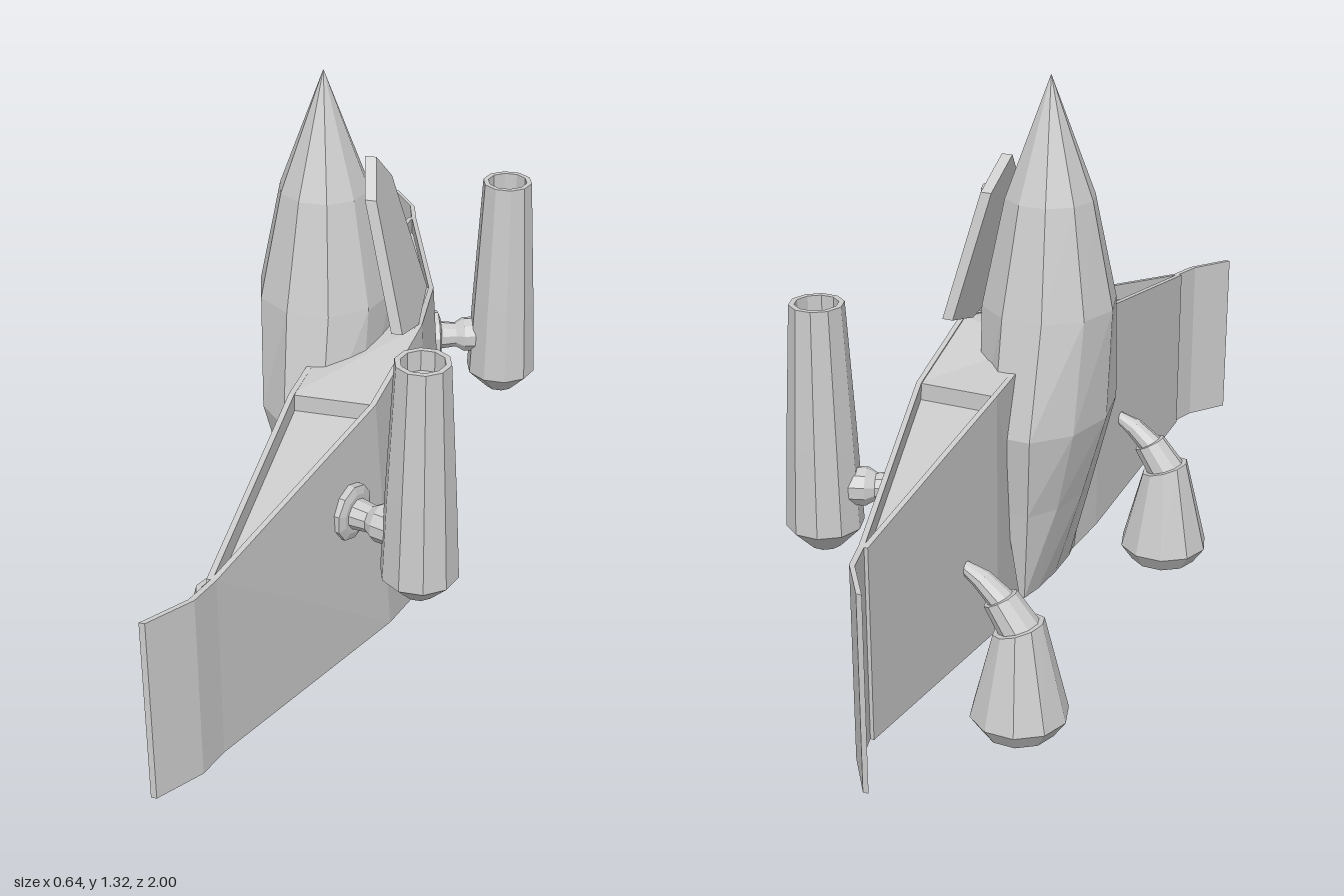
import * as THREE from 'three';

const material = new THREE.MeshStandardMaterial({ color: 0xcccccc, flatShading: true });

// Skin a row of closed rings and cap both ends
function loft(rings) {
  const out = [];
  const tri = (a, b, c) => out.push(...a, ...b, ...c);
  const n = rings[0].length;
  for (let i = 0; i < rings.length - 1; i++) {
    for (let j = 0; j < n; j++) {
      const k = (j + 1) % n, lo = rings[i], hi = rings[i + 1];
      tri(lo[j], lo[k], hi[k]);
      tri(lo[j], hi[k], hi[j]);
    }
  }
  const first = rings[0], last = rings[rings.length - 1];
  for (let j = 1; j < n - 1; j++) {
    tri(first[0], first[j + 1], first[j]);
    tri(last[0], last[j], last[j + 1]);
  }
  const g = new THREE.BufferGeometry();
  g.setAttribute('position', new THREE.Float32BufferAttribute(out, 3));
  g.computeVertexNormals();
  return g;
}

// Ten-sided ring around an axis leaning from +y towards +x by tilt degrees
function ring(x, y, rx, rz = rx, tilt = 0) {
  const t = THREE.MathUtils.degToRad(tilt);
  return Array.from({ length: 10 }, (_, i) => {
    const a = i * Math.PI / 5;
    return [x + rx * Math.cos(a) * Math.cos(t), y - rx * Math.cos(a) * Math.sin(t), -rz * Math.sin(a)];
  });
}

// Wing stations: z, top y, bottom y, front x at top and bottom, back x at top and bottom
const half = [
  [0, 0.74, 0.06, 0.135, 0.165, -0.07, -0.03],
  [0.28, 0.69, 0.13, 0.1, 0.135, -0.09, -0.09],
  [0.84, 0.6, 0.18, -0.07, -0.07, -0.09, -0.09],
  [0.91, 0.6, 0.18, -0.09, -0.09, -0.1, -0.1],
  [1, 0.6, 0.18, -0.155, -0.155, -0.165, -0.165],
];
const mirrored = (list) => [...list.slice(1).reverse().map(([z, ...r]) => [-z, ...r]), ...list];
const section = (z, top, bottom, ft, fb, bt, bb) => [[bb, bottom, z], [fb, bottom, z], [ft, top, z], [bt, top, z]];

export function createModel() {
  const model = new THREE.Group();
  const add = (name, geometry, parent = model) => {
    const m = new THREE.Mesh(geometry, material);
    m.name = name;
    parent.add(m);
    return m;
  };

  // Pointed hull, flattening to a wedge at the tail
  add('hull', loft([
    ring(-0.085, 0.14, 0.02, 0.15),
    ring(-0.085, 0.36, 0.085, 0.18),
    ring(-0.085, 0.555, 0.14, 0.21),
    ring(-0.085, 0.81, 0.15, 0.155),
    ring(-0.085, 1.05, 0.1, 0.1),
    ring(-0.085, 1.315, 0.0005),
  ]));

  // Leaning canopy plate
  const outline = [[0, 1.13], [-0.07, 1.06], [-0.12, 0.775], [0, 0.74], [0.12, 0.775], [0.07, 1.06]];
  const canopy = new THREE.ExtrudeGeometry(
    new THREE.Shape(outline.map(([x, y]) => new THREE.Vector2(x, y))),
    { depth: 0.025, bevelEnabled: false }).rotateY(Math.PI / 2);
  const p = canopy.attributes.position;
  for (let i = 0; i < p.count; i++) p.setX(i, p.getX(i) + 0.005 + (1.13 - p.getY(i)) * 0.25);
  canopy.computeVertexNormals();
  add('canopy', canopy);

  // Wing: swept front skin with thin tips, flat back skin, recessed core
  const wing = new THREE.Group();
  wing.name = 'wing';
  model.add(wing);
  add('frontSkin', loft(mirrored(half).map(([z, t, b, ft, fb]) =>
    section(z, t, b, ft, fb, ft - 0.012, fb - 0.012))), wing);
  add('backSkin', loft(mirrored(half.slice(0, 3)).map(([z, t, b, , , bt, bb]) =>
    section(z, z === 0 ? 0.71 : t, b, bt + 0.012, bb + 0.012, bt, bb))), wing);
  add('wingCore', loft(mirrored(half.slice(0, 3)).map(([z, t, b, ft, fb, bt, bb]) =>
    section(z, t - 0.04, b + 0.04, ft - 0.006, fb - 0.006, bt + 0.006, bb + 0.006))), wing);
  add('centreSection', loft(mirrored(half.slice(0, 2)).map(([z, t, b, ft, fb, bt, bb]) => {
    const s = section(z, t - 0.002, b + 0.002, ft - 0.004, fb - 0.004, bt + 0.004, bb + 0.004);
    if (z === 0) s[3][1] = 0.71;
    return s;
  })), wing);

  for (const side of [1, -1]) {
    // Front pod, hollow at its upper end
    const frontPod = add('frontPod', loft([
      ring(0.237, 0.355, 0.035),
      ring(0.237, 0.405, 0.084),
      ring(0.237, 0.6, 0.075),
      ring(0.237, 0.905, 0.058),
      ring(0.237, 0.905, 0.046),
      ring(0.237, 0.86, 0.046),
    ]));
    frontPod.position.z = 0.45 * side;

    // Pylon with a flange square to the wing surface
    const pylon = add('frontPylon', loft([
      [-0.01, 0.062], [0.012, 0.062], [0.018, 0.045], [0.018, 0.034],
      [0.055, 0.03], [0.075, 0.042], [0.14, 0.042],
    ].map(([x, r]) => ring(x, 0, r, r, 90))));
    pylon.position.set(0.075, 0.497, 0.4 * side);
    pylon.rotation.y = -0.33 * side;

    // Rear pod: open nozzle below, stepped elbow bending into the wing
    const rearPod = add('rearPod', loft([
      ring(-0.212, 0.05, 0.05),
      ring(-0.212, 0, 0.062),
      ring(-0.212, 0, 0.08),
      ring(-0.212, 0.04, 0.108),
      ring(-0.21, 0.247, 0.058, 0.058, 18),
      ring(-0.21, 0.247, 0.046, 0.046, 20),
      ring(-0.168, 0.304, 0.039, 0.039, 28),
      ring(-0.168, 0.304, 0.029, 0.029, 32),
      ring(-0.125, 0.34, 0.023, 0.023, 48),
      ring(-0.075, 0.365, 0.012, 0.012, 60),
    ]));
    rearPod.position.z = 0.43 * side;
  }
  return model;
}
